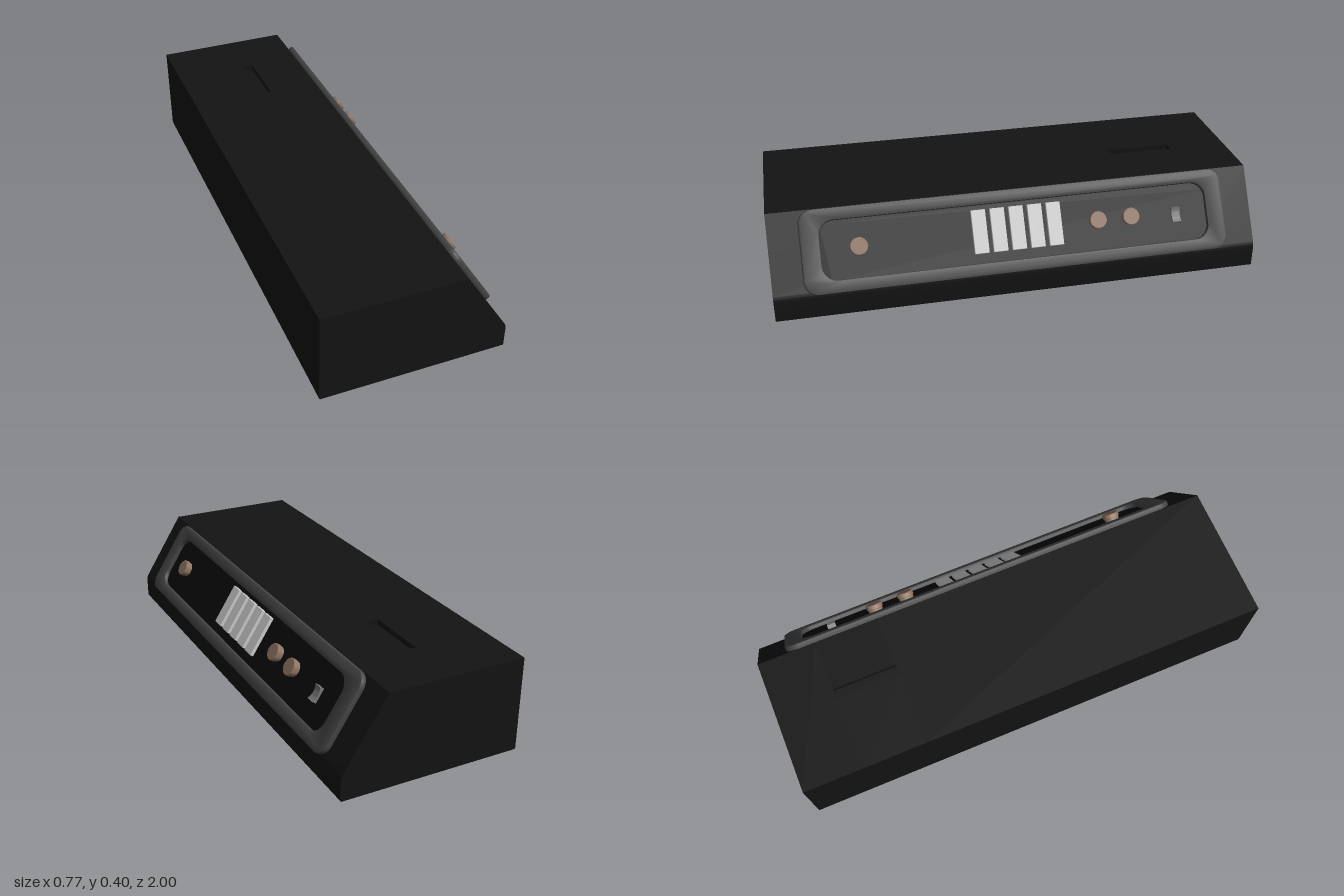
import * as THREE from 'three';
import { toCreasedNormals, mergeGeometries } from 'three/addons/utils/BufferGeometryUtils.js';
import { RoundedBoxGeometry } from 'three/addons/geometries/RoundedBoxGeometry.js';

const mat = (color) => new THREE.MeshStandardMaterial({ color });
const blackMat = mat(0x131313);
const panelMat = mat(0x0a0a0a);
const frameMat = mat(0x444444);
const knobMat = mat(0x8c7260);
const keyMat = mat(0xcccccc);
const switchMat = mat(0x777777);

function add(parent, name, geometry, material, x = 0, y = 0, z = 0) {
  const mesh = new THREE.Mesh(geometry, material);
  mesh.name = name;
  mesh.position.set(x, y, z);
  parent.add(mesh);
  return mesh;
}

// Rounded rectangle centred on the origin
function roundedRect(w, h, r, target = new THREE.Shape()) {
  const x = w / 2, y = h / 2;
  target.absarc(x - r, y - r, r, 0, Math.PI / 2);
  target.absarc(-x + r, y - r, r, Math.PI / 2, Math.PI);
  target.absarc(-x + r, -y + r, r, Math.PI, Math.PI * 1.5);
  target.absarc(x - r, -y + r, r, Math.PI * 1.5, Math.PI * 2);
  target.closePath();
  return target;
}

// One length of the wedge-shaped case, with an optional notch in its top
function caseSection(z0, z1, notched) {
  const s = new THREE.Shape();
  s.moveTo(-0.376, 0);
  s.lineTo(0.37, 0);
  s.lineTo(0.373, 0.004);
  s.lineTo(0.373, 0.085);
  s.quadraticCurveTo(0.373, 0.1, 0.365, 0.1125);
  s.lineTo(0.19, 0.387);
  if (notched) {
    s.lineTo(-0.028, 0.387);
    s.lineTo(-0.028, 0.365);
    s.lineTo(-0.075, 0.365);
    s.lineTo(-0.075, 0.387);
  }
  s.lineTo(-0.38, 0.387);
  s.lineTo(-0.38, 0.004);
  s.closePath();
  const g = new THREE.ExtrudeGeometry(s, { depth: z1 - z0, bevelEnabled: false, curveSegments: 6 });
  g.translate(0, 0, z0);
  return toCreasedNormals(g, 0.5);
}

export function createModel() {
  const model = new THREE.Group();
  model.name = 'controlConsole';

  // Case, with the slot cut into the rear part of its top
  add(model, 'case', mergeGeometries([
    caseSection(-1, -0.75, false),
    caseSection(-0.75, -0.48, true),
    caseSection(-0.48, 1, false),
  ]), blackMat);

  // Sloped control panel: local x runs toward -z, y up the slope, z outward
  const panel = new THREE.Group();
  panel.name = 'controlPanel';
  const up = new THREE.Vector3(-0.183, 0.287, 0).normalize();
  const right = new THREE.Vector3(0, 0, -1);
  const out = new THREE.Vector3().crossVectors(right, up);
  panel.quaternion.setFromRotationMatrix(new THREE.Matrix4().makeBasis(right, up, out));
  panel.position.set(0.2815, 0.2435, 0);
  model.add(panel);

  add(panel, 'panelFace', new THREE.ExtrudeGeometry(roundedRect(1.62, 0.25, 0.06),
    { depth: 0.004, bevelEnabled: false }), panelMat);

  // Raised frame with bevelled edges
  const ring = roundedRect(1.754, 0.338, 0.055);
  ring.holes.push(roundedRect(1.6, 0.236, 0.06, new THREE.Path()));
  const frame = new THREE.ExtrudeGeometry(ring, {
    depth: 0.012, bevelThickness: 0.008, bevelSize: 0.008, bevelOffset: -0.008,
    bevelSegments: 2, curveSegments: 8,
  });
  add(panel, 'frame', toCreasedNormals(frame, 0.5), frameMat, 0, 0, 0.003);

  // Knobs: lathed, with a small waist under the cap
  const profile = [[0, 0], [0.032, 0], [0.032, 0.014], [0.036, 0.016], [0.036, 0.032], [0.033, 0.035], [0, 0.035]];
  const knob = toCreasedNormals(new THREE.LatheGeometry(
    profile.map(([r, h]) => new THREE.Vector2(r, h)), 24).rotateX(Math.PI / 2), 0.5);
  for (const z of [0.65, -0.327, -0.468]) add(panel, 'knob', knob, knobMat, -z, 0.005, 0.001);

  // Row of five keys
  const key = new RoundedBoxGeometry(0.06, 0.178, 0.022, 2, 0.003);
  for (let i = -2; i <= 2; i++) add(panel, 'key', key, keyMat, i * 0.0777 - 0.008, 0.01, 0.007);

  // Rocker switch with a dished face, extruded across its width
  const rocker = new THREE.Shape();
  rocker.moveTo(-0.031, 0);
  rocker.lineTo(0.031, 0);
  rocker.lineTo(0.031, 0.022);
  rocker.quadraticCurveTo(0, 0.004, -0.031, 0.022);
  rocker.closePath();
  const rockerGeo = new THREE.ExtrudeGeometry(rocker, { depth: 0.036, bevelEnabled: false, curveSegments: 8 });
  rockerGeo.translate(0, 0, -0.018);
  // Turn profile x -> panel up, profile y -> outward
  rockerGeo.applyMatrix4(new THREE.Matrix4().makeBasis(
    new THREE.Vector3(0, 1, 0), new THREE.Vector3(0, 0, 1), new THREE.Vector3(1, 0, 0)));
  add(panel, 'rockerSwitch', toCreasedNormals(rockerGeo, 0.5), switchMat, 0.667, -0.006, 0.001);

  return model;
}
